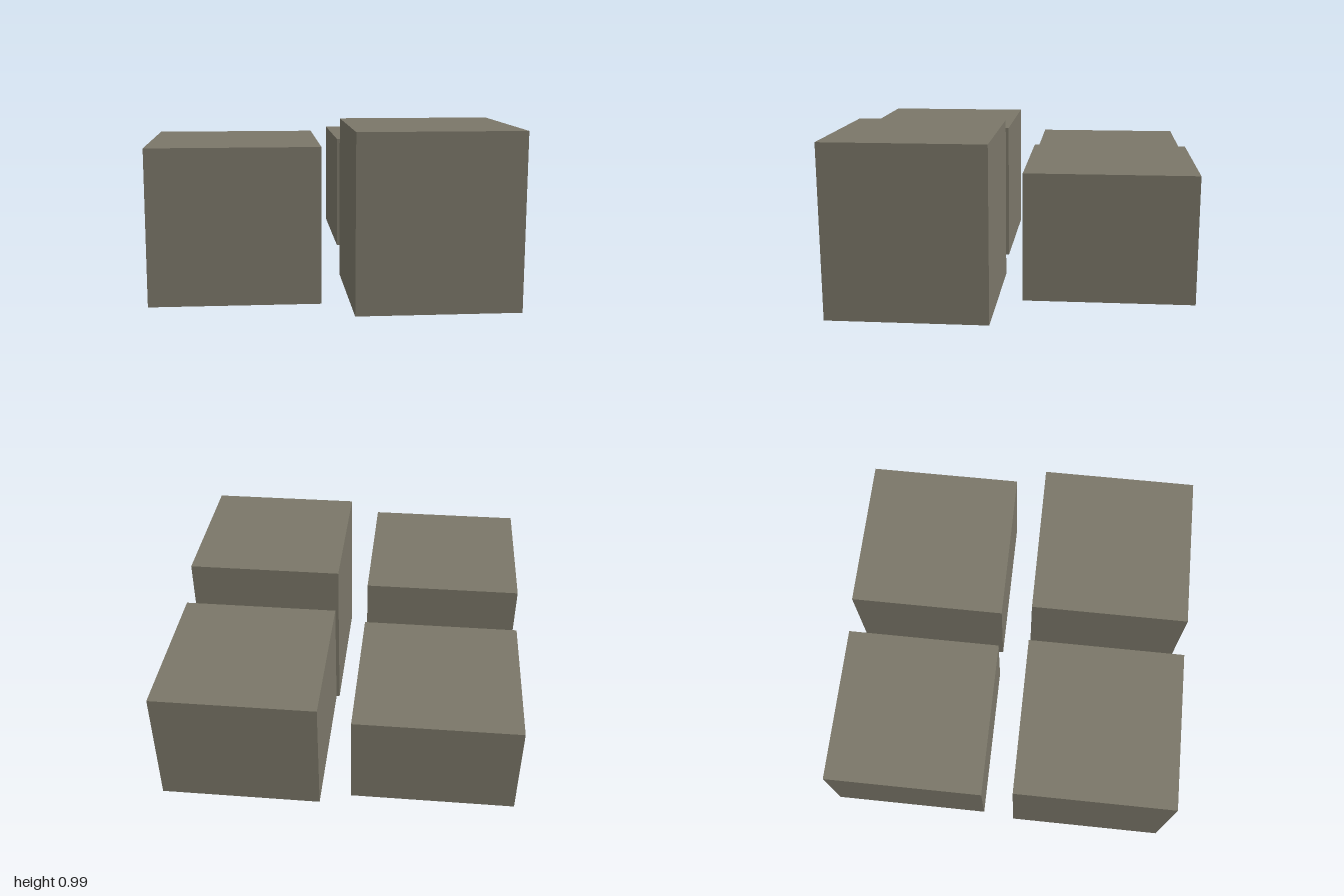
import * as THREE from 'three';

export function createModel() {
  const group = new THREE.Group();
  group.name = 'fourBlocks';
  const stone = new THREE.MeshStandardMaterial({ color: 0x7a7668 });
  stone.name = 'warm grey';

  const side = 0.91;      // footprint of every block
  const offset = 0.545;   // block centre from the axes
  const middle = 0.4925;  // all blocks share one mid height

  // name, x side, z side, height
  const blocks = [
    ['frontLeftBlock', 1, 1, 0.985],
    ['frontRightBlock', -1, 1, 0.835],
    ['backLeftBlock', 1, -1, 0.69],
    ['backRightBlock', -1, -1, 0.545],
  ];

  for (const [name, sx, sz, height] of blocks) {
    const block = new THREE.Mesh(new THREE.BoxGeometry(side, height, side), stone);
    block.name = name;
    block.position.set(sx * offset, middle, sz * offset);
    group.add(block);
  }
  return group;
}
